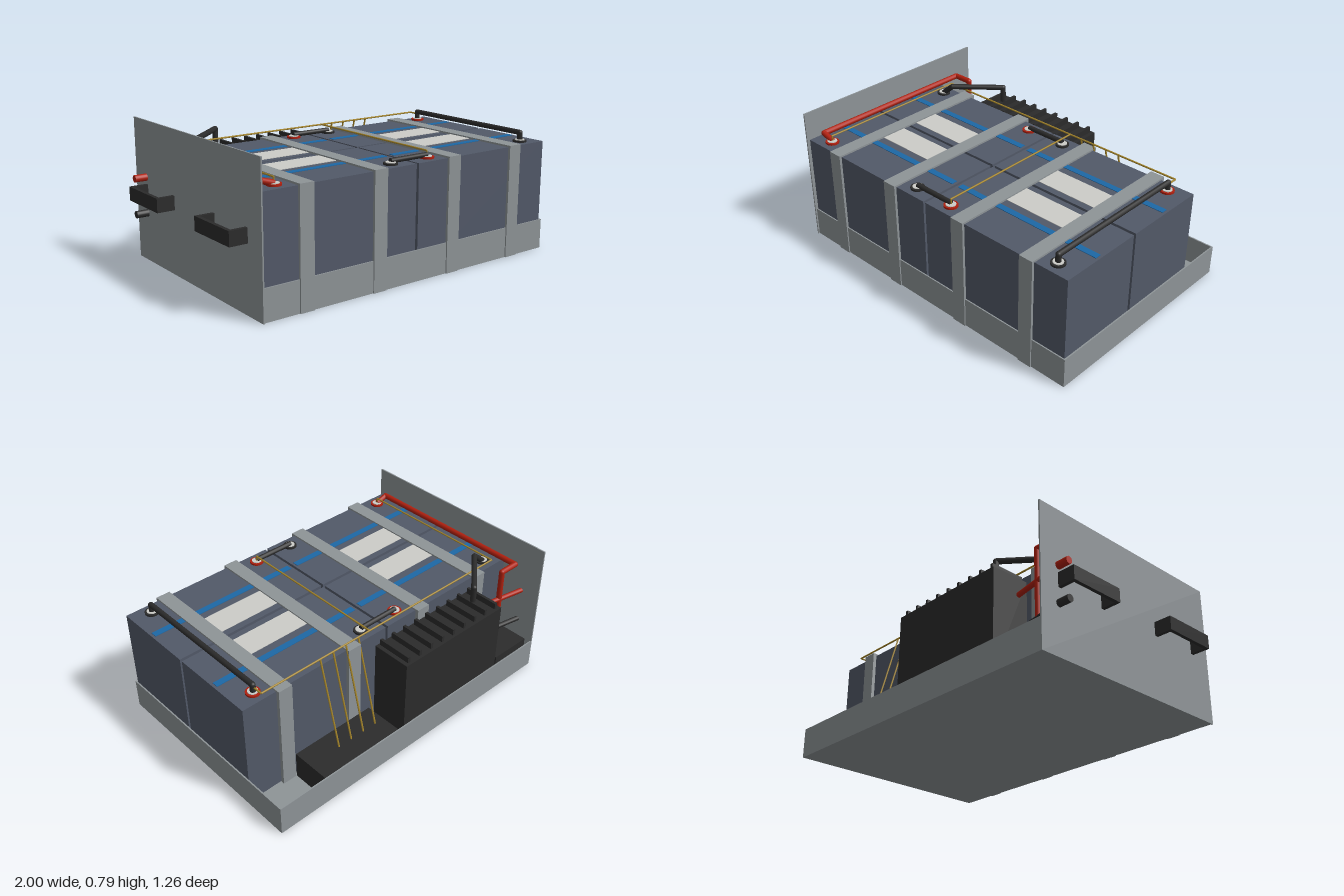
import * as THREE from 'three';

const mat = (name, color) => {
  const m = new THREE.MeshStandardMaterial({ color });
  m.name = name;
  return m;
};

export function createModel() {
  const root = new THREE.Group();
  root.name = 'batteryBank';
  const steel = mat('steel', 0x8e9497);
  const casing = mat('slateCasing', 0x525968);
  const black = mat('black', 0x2b2b2b);
  const red = mat('red', 0xb0200f);
  const gold = mat('goldWire', 0xa8882c);
  const blue = mat('blueStripe', 0x1d68a6);
  const pale = mat('paleLabel', 0xcdcdc8);

  // Box given by its lower and upper corners
  const box = (name, m, x0, x1, y0, y1, z0, z1, parent = root) => {
    const mesh = new THREE.Mesh(new THREE.BoxGeometry(x1 - x0, y1 - y0, z1 - z0), m);
    mesh.position.set((x0 + x1) / 2, (y0 + y1) / 2, (z0 + z1) / 2);
    mesh.name = name;
    parent.add(mesh);
    return mesh;
  };

  // Cable with straight runs and rounded joints
  const cable = (name, m, r, points, sides = 12) => {
    const g = new THREE.Group();
    g.name = name;
    const pts = points.map((p) => new THREE.Vector3(...p));
    pts.forEach((p, i) => {
      if (i === 0) return;
      const dir = p.clone().sub(pts[i - 1]);
      const run = new THREE.Mesh(new THREE.CylinderGeometry(r, r, dir.length(), sides), m);
      run.position.copy(p).add(pts[i - 1]).multiplyScalar(0.5);
      run.quaternion.setFromUnitVectors(new THREE.Vector3(0, 1, 0), dir.normalize());
      run.name = name + 'Run';
      g.add(run);
      if (i < pts.length - 1) {
        const joint = new THREE.Mesh(new THREE.SphereGeometry(r, sides, 8), m);
        joint.position.copy(p);
        joint.name = name + 'Joint';
        g.add(joint);
      }
    });
    root.add(g);
  };

  // Open tray with a tall end plate
  box('trayFloor', steel, -0.9, 0.995, 0, 0.01, -0.635, 0.622);
  box('trayFrontWall', steel, -0.9, 0.995, 0, 0.17, 0.615, 0.622);
  box('trayBackWall', steel, -0.9, 0.995, 0, 0.17, -0.635, -0.627);
  box('trayLeftWall', steel, 0.987, 0.995, 0, 0.17, -0.635, 0.622);
  box('endPlate', steel, -0.9, -0.892, 0, 0.79, -0.635, 0.63);

  // Battery, built about its own centre; the back row is turned half round
  const battery = (x, z, turned) => {
    const g = new THREE.Group();
    g.name = 'battery';
    box('batteryCase', casing, -0.465, 0.465, 0.01, 0.625, -0.243, 0.243, g);
    box('batteryStripe', blue, -0.45, 0.45, 0.624, 0.628, -0.008, 0.028, g);
    box('batteryLabel', pale, -0.2, 0.2, 0.624, 0.628, -0.205, -0.055, g);
    for (const [tx, m] of [[-0.35, red], [0.35, black]]) {
      const ring = new THREE.Mesh(new THREE.CylinderGeometry(0.038, 0.038, 0.012, 24), m);
      ring.position.set(tx, 0.629, 0.175);
      ring.name = 'terminalRing';
      const post = new THREE.Mesh(new THREE.CylinderGeometry(0.027, 0.027, 0.016, 24), pale);
      post.position.set(tx, 0.631, 0.175);
      post.name = 'terminalPost';
      g.add(ring, post);
    }
    g.position.set(x, 0, z);
    if (turned) g.rotation.y = Math.PI;
    root.add(g);
  };
  for (const x of [-0.425, 0.52]) {
    battery(x, 0.37, false);
    battery(x, -0.133, true);
  }

  // Hold-down straps
  for (const x of [-0.648, -0.202, 0.293, 0.745]) {
    box('strapTop', steel, x - 0.041, x + 0.041, 0.625, 0.635, -0.4, 0.629);
    box('strapFront', steel, x - 0.041, x + 0.041, 0, 0.635, 0.615, 0.629);
    box('strapBack', steel, x - 0.041, x + 0.041, 0.01, 0.635, -0.4, -0.38);
  }

  // Controller with cooling fins
  box('controller', black, -0.575, 0.15, 0.01, 0.57, -0.625, -0.4);
  for (let i = 0; i < 9; i++) {
    const x = -0.545 + i * 0.083;
    box('coolingFin', black, x - 0.008, x + 0.008, 0.57, 0.605, -0.61, -0.41);
  }
  box('monitorBox', black, 0.19, 0.7, 0.01, 0.165, -0.625, -0.4);
  box('breakerBlock', black, -0.875, -0.62, 0.01, 0.18, -0.6, -0.43);

  // Handles on the end plate
  for (const z of [-0.36, 0.35]) {
    box('handleGrip', black, -1, -0.98, 0.36, 0.437, z - 0.16, z + 0.16);
    for (const s of [-1, 1]) {
      box('handleArm', black, -0.99, -0.9, 0.36, 0.437, z + s * 0.15 - 0.01, z + s * 0.15 + 0.01);
    }
  }

  // Links between batteries
  for (const z of [-0.31, 0.543]) {
    cable('shortLink', black, 0.014, [[-0.075, 0.643, z], [0.17, 0.643, z]]);
  }
  cable('longLink', black, 0.015, [[0.87, 0.63, -0.31], [0.87, 0.677, -0.31], [0.87, 0.677, 0.545], [0.87, 0.63, 0.545]]);

  // Main cables
  cable('negativeCable', black, 0.016, [[-0.775, 0.63, -0.31], [-0.7, 0.693, -0.31], [-0.47, 0.693, -0.51], [-0.47, 0.57, -0.51]]);
  cable('positiveCable', red, 0.016, [[-0.775, 0.635, 0.543], [-0.847, 0.657, 0.543], [-0.847, 0.657, -0.485], [-0.735, 0.657, -0.485], [-0.735, 0.17, -0.485]]);
  cable('breakerCable', red, 0.013, [[-0.63, 0.13, -0.545], [-0.57, 0.13, -0.545]]);

  // Output connectors through the end plate
  for (const [m, y] of [[red, 0.475], [black, 0.275]]) {
    cable('outputConnector', m, 0.02, [[-0.97, y, -0.517], [-0.895, y, -0.517]], 16);
    cable('outputCable', m, 0.014, [[-0.895, y, -0.517], [-0.57, y, -0.457]]);
  }

  // Sensing wires
  const wire = (points) => cable('senseWire', gold, 0.005, points, 6);
  wire([[-0.775, 0.665, -0.375], [0.87, 0.665, -0.375]]);
  for (const x of [-0.775, 0.17]) {
    wire([[x, 0.665, -0.375], [x, 0.665, 0.543], [x, 0.635, 0.543]]);
  }
  wire([[0.87, 0.665, -0.375], [0.87, 0.665, -0.31], [0.87, 0.635, -0.31]]);
  for (let i = 0; i < 4; i++) {
    const x = 0.248 + i * 0.085;
    wire([[x, 0.665, -0.375], [x, 0.16, -0.51]]);
  }
  return root;
}
